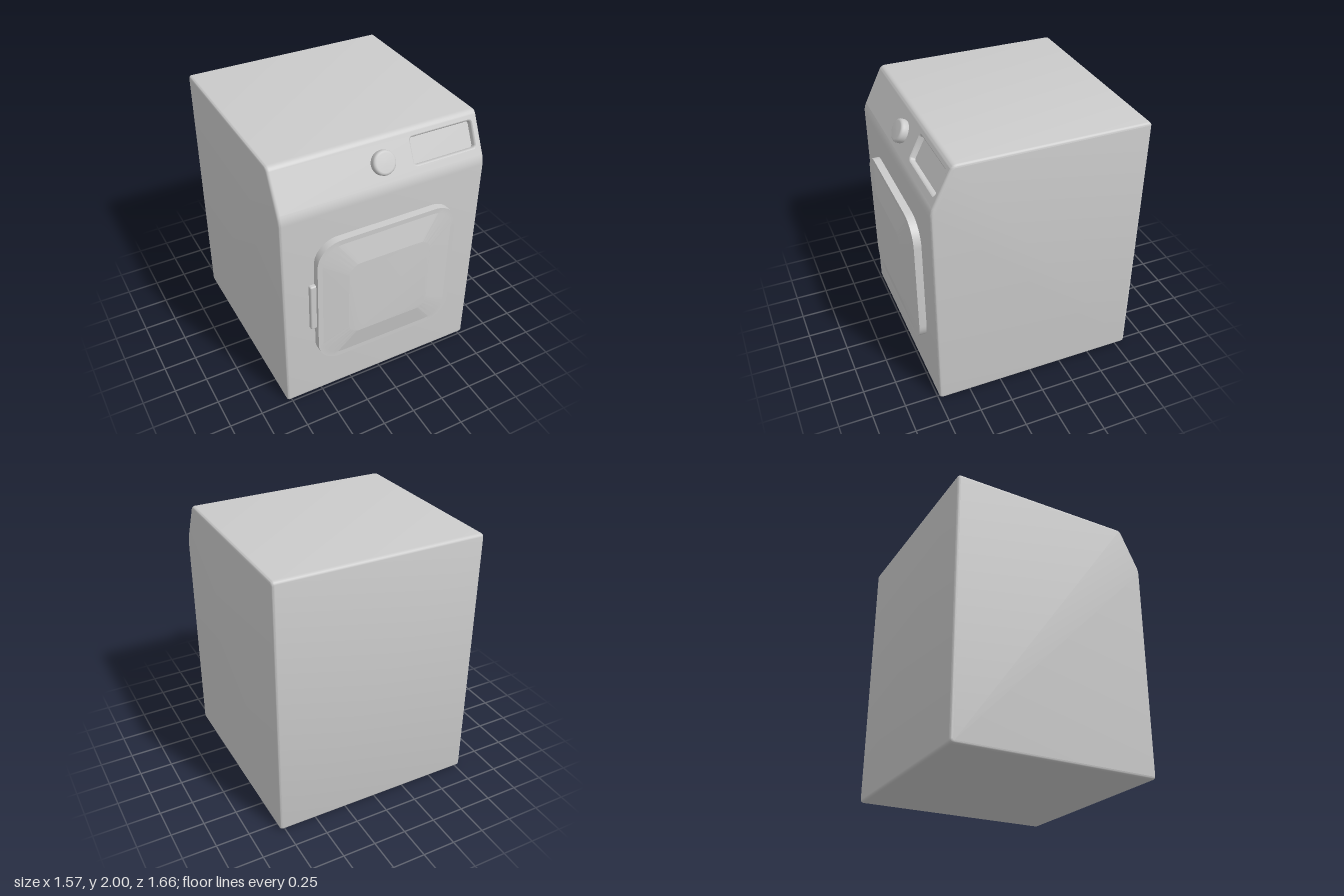
import * as THREE from 'three';
import { mergeGeometries, toCreasedNormals } from 'three/addons/utils/BufferGeometryUtils.js';
import { RoundedBoxGeometry } from 'three/addons/geometries/RoundedBoxGeometry.js';

const material = new THREE.MeshStandardMaterial({ color: 0xcccccc });
const WIDTH = 1.57, EDGE = 0.02;
// Cabinet side outline as [z, y, corner setback]; the last two corners bound the sloped panel
const OUTLINE = [
  [0.58, 2, 0.03], [-0.83, 2, 0.03], [-0.83, 0, 0.03], [0.74, 0, 0.03], [0.74, 1.68, 0.04],
];
const SLOPE = Math.atan2(0.16, 0.32);
const SLOPE_LENGTH = Math.hypot(0.16, 0.32);

function mesh(name, geometry) {
  const m = new THREE.Mesh(geometry, material);
  m.name = name;
  return m;
}

// Counter-clockwise rounded rectangle, always with the same number of points
function roundedRect(w, h, r, cx = 0, cy = 0, n = 12) {
  const pts = [];
  [[1, 1], [-1, 1], [-1, -1], [1, -1]].forEach(([sx, sy], q) => {
    for (let i = 0; i <= n; i++) {
      const a = (q + i / n) * Math.PI / 2;
      pts.push(new THREE.Vector2(
        cx + sx * (w / 2 - r) + r * Math.cos(a),
        cy + sy * (h / 2 - r) + r * Math.sin(a)));
    }
  });
  return pts;
}

// Skin a stack of rounded rectangles [w, h, r, z] and close the last one
function loftRects(levels, crease) {
  const loops = levels.map(([w, h, r, z]) =>
    roundedRect(w, h, r).map((p) => [p.x, p.y, z]));
  const pos = [];
  for (let k = 0; k < loops.length - 1; k++) {
    const lo = loops[k], hi = loops[k + 1];
    for (let i = 0; i < lo.length; i++) {
      const j = (i + 1) % lo.length;
      pos.push(...lo[i], ...lo[j], ...hi[j], ...lo[i], ...hi[j], ...hi[i]);
    }
  }
  const skin = new THREE.BufferGeometry();
  skin.setAttribute('position', new THREE.Float32BufferAttribute(pos, 3));
  const [w, h, r, z] = levels[levels.length - 1];
  const cap = new THREE.ShapeGeometry(new THREE.Shape(roundedRect(w, h, r))).toNonIndexed();
  cap.deleteAttribute('uv');
  cap.deleteAttribute('normal');
  cap.translate(0, 0, z);
  return toCreasedNormals(mergeGeometries([skin, cap]), crease);
}

// Cabinet shell with softened edges, left open where the control panel sits
function cabinetGeometry() {
  const shape = new THREE.Shape();
  const v = OUTLINE.map(([z, y]) => new THREE.Vector2(z, y));
  v.forEach((p, i) => {
    const t = OUTLINE[i][2];
    const toward = (q) => q.clone().sub(p).setLength(t).add(p);
    const a = toward(v[(i + v.length - 1) % v.length]);
    const b = toward(v[(i + 1) % v.length]);
    if (i === 0) shape.moveTo(a.x, a.y);
    else shape.lineTo(a.x, a.y);
    shape.quadraticCurveTo(p.x, p.y, b.x, b.y);
  });
  shape.closePath();
  const depth = WIDTH - 2 * EDGE;
  const g = new THREE.ExtrudeGeometry(shape, {
    depth, curveSegments: 6, bevelEnabled: true, bevelSize: EDGE,
    bevelThickness: EDGE, bevelOffset: -EDGE, bevelSegments: 4,
  });
  g.translate(0, 0, -depth / 2);
  g.rotateY(-Math.PI / 2);

  const slopeNormal = new THREE.Vector3(0, Math.sin(SLOPE), Math.cos(SLOPE));
  const src = g.getAttribute('position');
  const tri = new THREE.Triangle(), n = new THREE.Vector3(), pos = [];
  for (let i = 0; i < src.count; i += 3) {
    tri.setFromAttributeAndIndices(src, i, i + 1, i + 2);
    tri.getNormal(n);
    if (n.dot(slopeNormal) > 0.99999 || tri.getArea() < 1e-10) continue;
    for (const p of [tri.a, tri.b, tri.c]) pos.push(p.x, p.y, p.z);
  }
  const open = new THREE.BufferGeometry();
  open.setAttribute('position', new THREE.Float32BufferAttribute(pos, 3));
  return toCreasedNormals(open, 0.45);
}

// Sloped panel with a recessed tray and a dial; local z points out of the slope
function controlPanel() {
  const panel = new THREE.Group();
  panel.name = 'controlPanel';
  panel.position.set(0, 1.68, 0.74);
  panel.rotation.x = -SLOPE;

  const x = WIDTH / 2 - EDGE, bottom = 0.04, top = SLOPE_LENGTH - 0.03;
  const face = new THREE.Shape();
  face.moveTo(-x, bottom).lineTo(x, bottom).lineTo(x, top).lineTo(-x, top).closePath();
  const tray = { w: 0.51, h: 0.21, x: 0.485, y: 0.197 };
  face.holes.push(new THREE.Path(roundedRect(tray.w, tray.h, 0.03, tray.x, tray.y)));
  panel.add(mesh('panelFace', new THREE.ShapeGeometry(face)));

  const recess = mesh('trayRecess', loftRects([
    [tray.w, tray.h, 0.03, 0],
    [tray.w - 0.014, tray.h - 0.014, 0.025, -0.004],
    [tray.w - 0.022, tray.h - 0.022, 0.021, -0.012],
    [tray.w - 0.024, tray.h - 0.024, 0.02, -0.04],
  ], 0.75));
  recess.position.set(tray.x, tray.y, 0);
  panel.add(recess);

  const profile = [[0.08, -0.005], [0.085, 0.01], [0.085, 0.037], [0.082, 0.046],
    [0.075, 0.053], [0.065, 0.056], [0, 0.057]].map(([r, h]) => new THREE.Vector2(r, h));
  const dial = mesh('dial', new THREE.LatheGeometry(profile, 40));
  dial.rotation.x = Math.PI / 2;
  dial.position.set(0, 0.186, 0);
  panel.add(dial);
  return panel;
}

// Front door: flat rim, then a shallow raised centre
function door() {
  const group = new THREE.Group();
  group.name = 'door';
  group.position.set(0, 0.893, 0.74);
  group.add(mesh('doorPanel', loftRects([
    [1.095, 1.075, 0.18, -0.01],
    [1.095, 1.075, 0.18, 0.055],
    [1.02, 1.0, 0.16, 0.055],
    [0.65, 0.635, 0.09, 0.09],
  ], 0.17)));
  const handle = mesh('doorHandle', new RoundedBoxGeometry(0.09, 0.395, 0.05, 3, 0.012));
  handle.position.set(-0.546, -0.01, 0.005);
  group.add(handle);
  return group;
}

export function createModel() {
  const model = new THREE.Group();
  model.name = 'washingMachine';
  model.add(mesh('cabinet', cabinetGeometry()), controlPanel(), door());
  return model;
}
